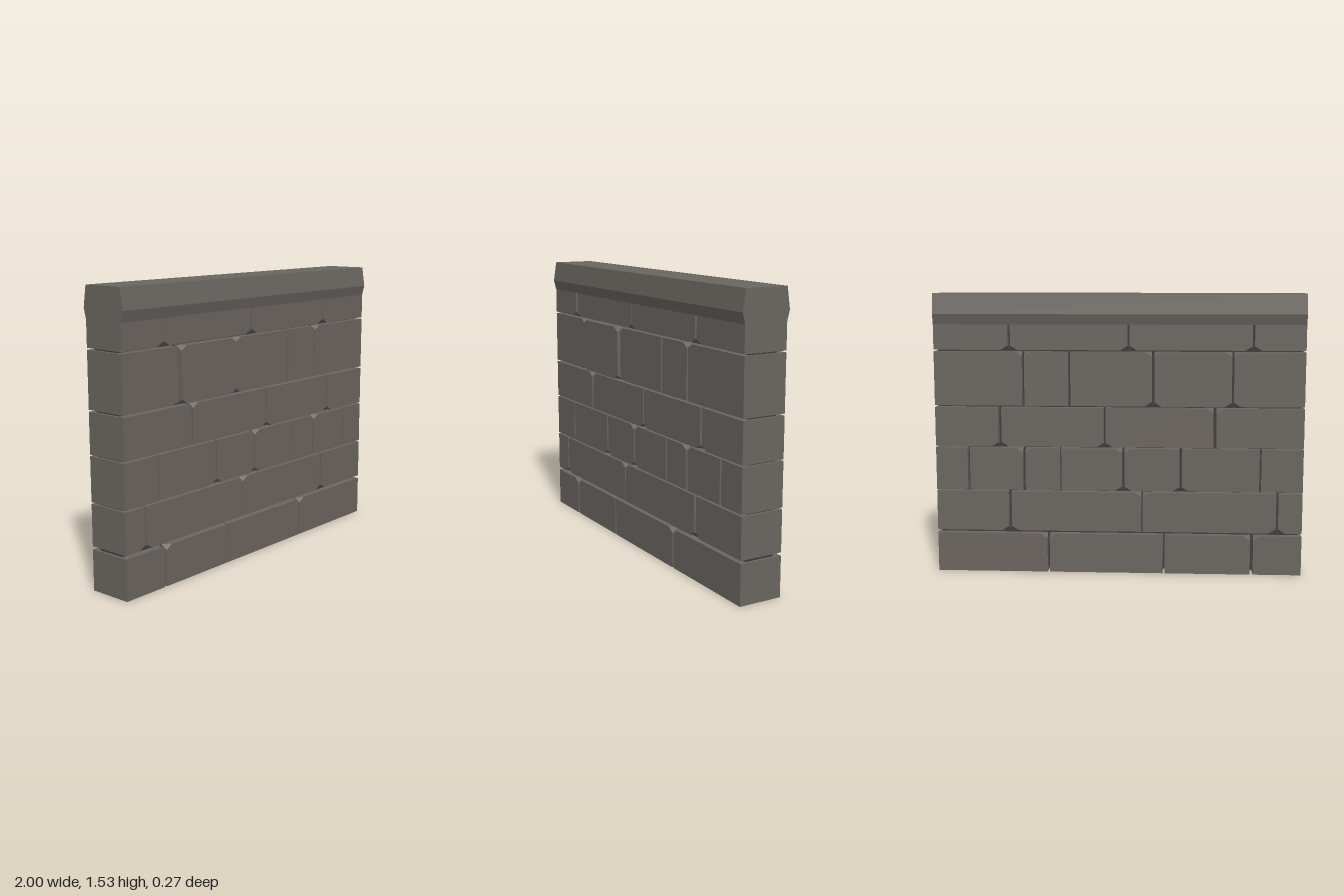
import * as THREE from 'three';
import { ConvexGeometry } from 'three/addons/geometries/ConvexGeometry.js';

const stone = new THREE.MeshStandardMaterial({ color: 0x6a6560 });
stone.name = 'stone';
const mortar = new THREE.MeshStandardMaterial({ color: 0x403d3a });
mortar.name = 'mortar';

// Courses: bottom, top, then joints [x, chipped ends (T top, B bottom), gap]
const courses = [
  { y0: 0, y1: 0.216, joints: [[-0.73, 'T', 0.016], [-0.25, '', 0.01], [0.385, 'T', 0.012]] },
  { y0: 0.233, y1: 0.452, joints: [[-0.865, 'B', 0.012], [-0.13, 'T', 0.008], [0.595, 'B', 0.016]] },
  { y0: 0.461, y1: 0.694, joints: [[-0.77, '', 0.01], [-0.34, 'B', 0.014], [-0.027, 'TB', 0.012], [0.315, '', 0.008], [0.515, 'T', 0.014], [0.82, '', 0.012]] },
  { y0: 0.702, y1: 0.916, joints: [[-0.522, 'T', 0.016], [0.075, 'B', 0.01], [0.645, 'B', 0.016]] },
  { y0: 0.926, y1: 1.219, joints: [[-0.615, 'TB', 0.012], [-0.188, 'TB', 0.014], [0.265, '', 0.012], [0.515, 'T', 0.012]] },
  { y0: 1.228, y1: 1.37, joints: [[-0.722, 'B', 0.012], [-0.055, 'B', 0.012], [0.59, 'B', 0.014]] },
];
// Half depths of stones that stand proud or sit back, keyed by course and index
const depths = { '4-1': 0.132, '5-1': 0.116 };

// Box with its chipped corners cut off by a small triangle
function stoneGeometry(x0, x1, y0, y1, d, leftChips, rightChips) {
  const points = [];
  for (const sx of [-1, 1]) for (const sy of [-1, 1]) for (const sz of [-1, 1]) {
    const x = sx < 0 ? x0 : x1, y = sy < 0 ? y0 : y1, z = sz * d;
    const chips = sx < 0 ? leftChips : rightChips;
    if (chips.includes(sy < 0 ? 'B' : 'T')) {
      points.push(
        new THREE.Vector3(x - sx * 0.038, y, z),
        new THREE.Vector3(x, y - sy * 0.024, z),
        new THREE.Vector3(x, y, z - sz * 0.035));
    } else points.push(new THREE.Vector3(x, y, z));
  }
  return new ConvexGeometry(points);
}

export function createModel() {
  const wall = new THREE.Group();
  wall.name = 'stoneWall';

  // Stones run through the whole thickness of the wall
  courses.forEach(({ y0, y1, joints }, row) => {
    const course = new THREE.Group();
    course.name = `course${row + 1}`;
    const ends = [[-1, '', 0], ...joints, [1, '', 0]];
    for (let i = 0; i < ends.length - 1; i++) {
      const [xa, chipsA, gapA] = ends[i];
      const [xb, chipsB, gapB] = ends[i + 1];
      const d = depths[`${row}-${i}`] ?? 0.12;
      const block = new THREE.Mesh(
        stoneGeometry(xa + gapA / 2, xb - gapB / 2, y0, y1, d, chipsA, chipsB), stone);
      block.name = `stone${i + 1}`;
      course.add(block);
    }
    wall.add(course);
  });

  // Recessed core seen through the joints
  const core = new THREE.Mesh(new THREE.BoxGeometry(1.97, 1.4, 0.16), mortar);
  core.name = 'mortarCore';
  core.position.y = 0.715;
  wall.add(core);

  // Coping with bevelled flanks
  const profile = new THREE.Shape([
    [-0.12, 1.365], [0.12, 1.365], [0.134, 1.42],
    [0.117, 1.53], [-0.117, 1.53], [-0.134, 1.42],
  ].map(([z, y]) => new THREE.Vector2(z, y)));
  const coping = new THREE.Mesh(
    new THREE.ExtrudeGeometry(profile, { depth: 2, bevelEnabled: false })
      .translate(0, 0, -1).rotateY(Math.PI / 2), stone);
  coping.name = 'coping';
  wall.add(coping);

  return wall;
}
